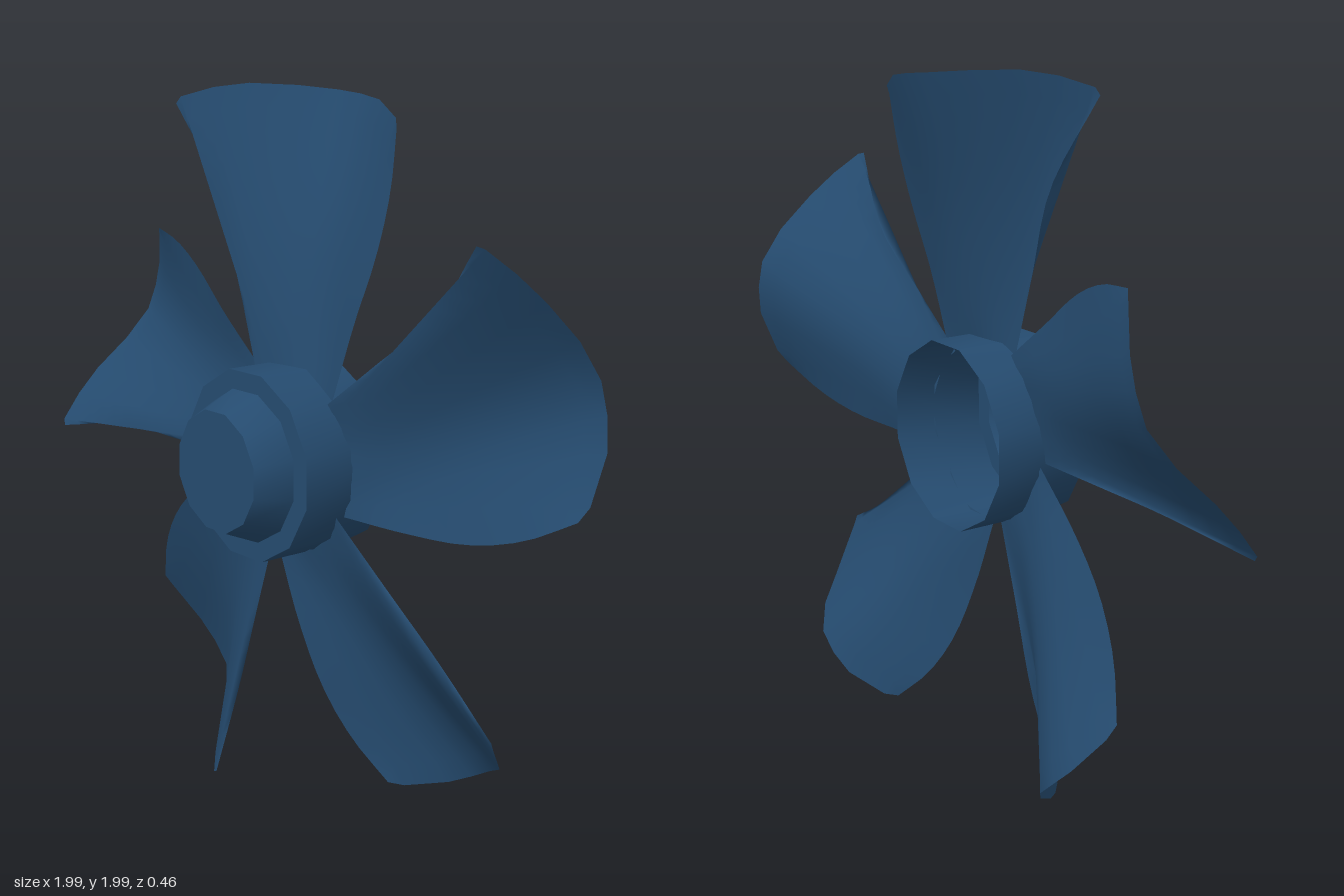
import * as THREE from 'three';
import { toCreasedNormals } from 'three/addons/utils/BufferGeometryUtils.js';

const BLADES = 5;
const SIDES = 12;
const ROWS = 12;
const HUB_RADIUS = 0.255;

// Tip edge of the upright blade, from its leading corner to its trailing corner
const TIP = [
  [-0.392, 0.938, 0.057], [-0.38, 0.957, 0.05], [-0.31, 0.983, -0.01], [-0.235, 0.995, -0.075],
  [-0.135, 0.99, -0.165], [-0.035, 0.98, -0.222], [0.05, 0.972, -0.228], [0.135, 0.96, -0.217],
  [0.255, 0.92, -0.165], [0.285, 0.895, -0.14],
];
// Points that shape the two long edges between root and tip
const LEADING = [[-0.19, 0.465, 0], [-0.265, 0.695, 0]];
const TRAILING = [[0.25, 0.4, -0.035], [0.3, 0.585, -0.065], [0.31, 0.745, -0.1]];

// Point where a blade rail meets the flats of the hub
function rootPoint(u) {
  const degrees = THREE.MathUtils.lerp(116.5, 45.5, u);
  const step = 360 / SIDES;
  const offFlat = degrees - Math.round(degrees / step) * step;
  const radius = HUB_RADIUS / Math.cos(THREE.MathUtils.degToRad(offFlat));
  const angle = THREE.MathUtils.degToRad(degrees);
  const z = -0.02 * u - 0.015 * Math.sin(Math.PI * u);
  return new THREE.Vector3(radius * Math.cos(angle), radius * Math.sin(angle), z);
}

// Thin twisted blade, lofted between rails that run from the hub to the tip
function bladeGeometry() {
  const last = TIP.length - 1;
  const rails = TIP.map((corner, i) => {
    const root = rootPoint(i / last);
    const tip = new THREE.Vector3(...corner);
    // Inner rails sag slightly so the sweep steepens towards the tip
    const sag = root.clone().lerp(tip, 0.5);
    if (sag.z < 0) sag.z *= 0.85;
    let between = [sag];
    if (i === 0) between = LEADING.map((p) => new THREE.Vector3(...p));
    if (i === last) between = TRAILING.map((p) => new THREE.Vector3(...p));
    return new THREE.CatmullRomCurve3([root, ...between, tip]);
  });

  const positions = [];
  const index = [];
  const cols = rails.length;
  for (let r = 0; r <= ROWS; r++) {
    rails.forEach((rail) => positions.push(...rail.getPointAt(r / ROWS).toArray()));
  }
  for (let r = 0; r < ROWS; r++) {
    for (let c = 0; c < last; c++) {
      const a = r * cols + c;
      index.push(a, a + 1, a + cols + 1, a, a + cols + 1, a + cols);
    }
  }
  const geometry = new THREE.BufferGeometry();
  geometry.setAttribute('position', new THREE.Float32BufferAttribute(positions, 3));
  geometry.setIndex(index);
  geometry.computeVertexNormals();
  return geometry;
}

// Hollow stepped cup, open at the back; radii are measured to the flats
function hubGeometry() {
  const k = 1 / Math.cos(Math.PI / SIDES);
  const profile = [[HUB_RADIUS, -0.15], [HUB_RADIUS, 0.127], [0.203, 0.127], [0.162, 0.228], [0, 0.228]]
    .map(([r, z]) => new THREE.Vector2(r * k, z));
  const lathe = new THREE.LatheGeometry(profile, SIDES, Math.PI / SIDES).rotateX(Math.PI / 2);
  return toCreasedNormals(lathe, Math.PI / 4);
}

export function createModel() {
  const material = new THREE.MeshStandardMaterial({ color: 0x254b6f, side: THREE.DoubleSide });

  const propeller = new THREE.Group();
  propeller.name = 'propeller';
  propeller.position.set(0.035, 1.005, 0);

  const hub = new THREE.Mesh(hubGeometry(), material);
  hub.name = 'hub';
  propeller.add(hub);

  // Blades evenly spaced around the hub
  const geometry = bladeGeometry();
  for (let i = 0; i < BLADES; i++) {
    const blade = new THREE.Mesh(geometry, material);
    blade.name = `blade${i + 1}`;
    blade.rotation.z = (i * 2 * Math.PI) / BLADES;
    propeller.add(blade);
  }

  const model = new THREE.Group();
  model.name = 'fan';
  model.add(propeller);
  return model;
}
